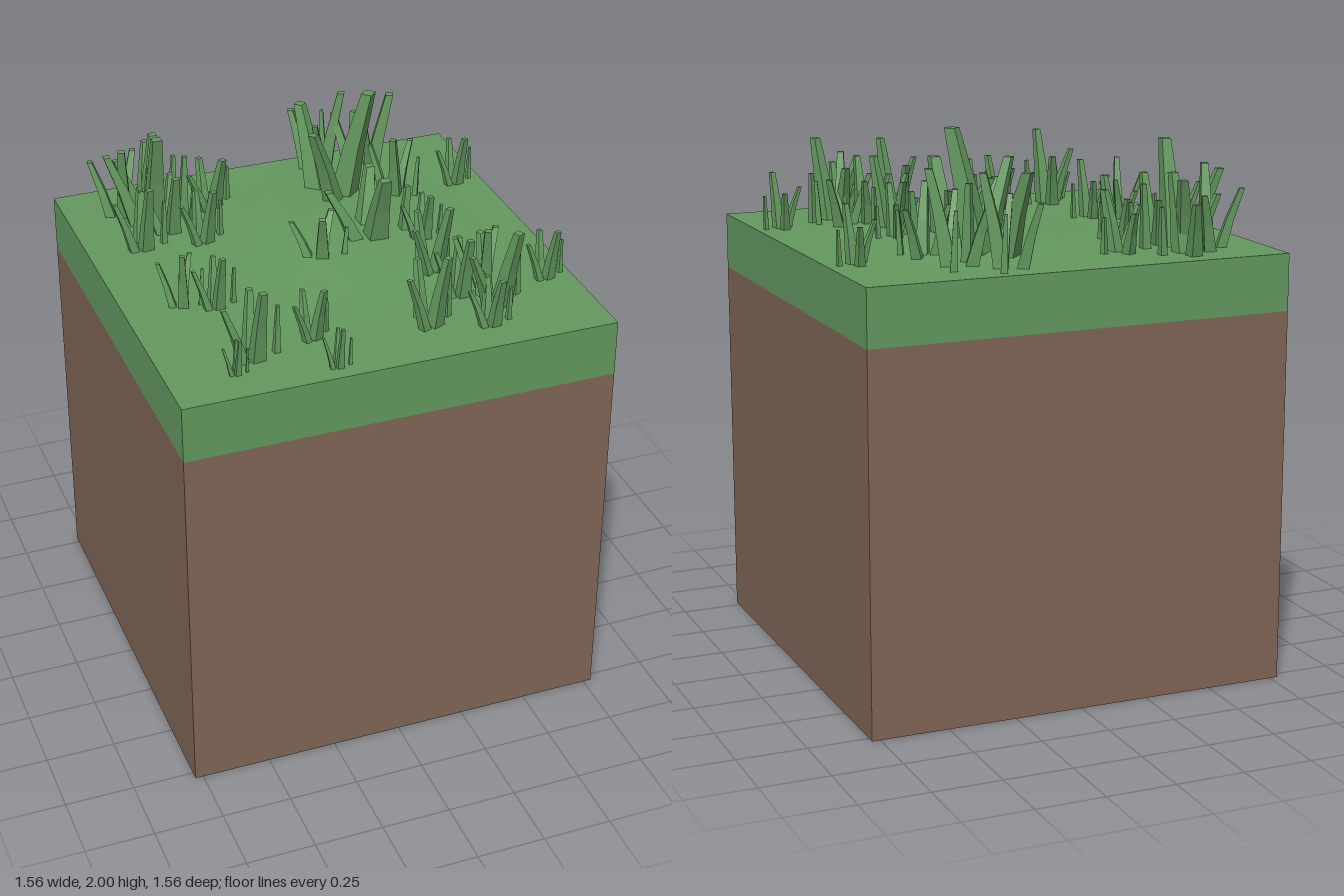
import * as THREE from 'three';

const green = new THREE.MeshStandardMaterial({ color: 0x64995f });
green.name = 'grassGreen';
const brown = new THREE.MeshStandardMaterial({ color: 0x806656 });
brown.name = 'soilBrown';

const SIDE = 1.56, SOIL_TOP = 1.355, TURF_TOP = 1.56;

// height of the gentle swell in the turf
function swell(x, z) {
  const r = Math.hypot((x - 0.12) / 0.5, (z + 0.15) / 0.58);
  return 0.03 * THREE.MathUtils.clamp(1.3 - 1.3 * r, 0, 1);
}

// one tuft: base x, base z, lean x, lean z, relative height, base width
const TUFT = [
  [0, 0, 0, 0.09, 1, 0.085],
  [-0.07, 0, -0.1, -0.03, 0.73, 0.06],
  [0, -0.1, 0.05, -0.09, 0.7, 0.07],
  [0.12, -0.02, 0.015, -0.01, 0.62, 0.04],
];

// tufts: x, z, spread, height, turn
const TUFTS = [
  [0.24, -0.42, 1.1, 0.43, 0.75],
  [0.22, -0.05, 1, 0.27, 0],
  [-0.01, 0.02, 0.65, 0.18, -0.35],
  [0.39, 0.01, 0.5, 0.19, 0],
  [0.25, -0.65, 0.7, 0.32, 1.1],
  [0.4, -0.55, 0.75, 0.33, 1.2],
  [0.42, -0.35, 0.6, 0.25, -0.6],
  [0.68, -0.37, 0.48, 0.2, 0.2],
  [-0.48, -0.48, 0.95, 0.37, -0.05],
  [-0.57, -0.56, 0.7, 0.29, -0.3],
  [-0.45, -0.61, 0.75, 0.27, 0.1],
  [-0.44, -0.38, 0.65, 0.24, 0],
  [-0.57, -0.29, 0.62, 0.26, 0.1],
  [-0.35, -0.26, 0.55, 0.22, 0.3],
  [-0.24, -0.51, 0.6, 0.21, 0.4],
  [-0.57, 0.15, 0.5, 0.22, -0.3],
  [-0.46, 0.2, 0.5, 0.21, 0.1],
  [-0.45, 0.57, 0.65, 0.28, 0.1],
  [-0.54, 0.64, 0.28, 0.14, 0],
  [-0.22, 0.51, 0.48, 0.2, 0.4],
  [-0.21, 0.715, 0.32, 0.16, 0],
  [0.19, 0.57, 0.62, 0.28, 0.4],
  [0.34, 0.23, 0.6, 0.26, 0.5],
  [0.36, 0.42, 0.58, 0.24, 0],
  [0.45, 0.41, 0.65, 0.26, -0.4],
  [0.46, 0.52, 0.75, 0.3, 0.4],
  [0.38, 0.64, 0.52, 0.19, 0.1],
  [0.69, 0.41, 0.48, 0.2, 0.2],
];

// flat facets for a reshaped geometry
function faceted(geometry) {
  const flat = geometry.toNonIndexed();
  flat.computeVertexNormals();
  return flat;
}

// tapered four-sided blade, sheared outward with a slight bend
function blade(width, height, leanX, leanZ) {
  const g = new THREE.CylinderGeometry(width * 0.3, width * 0.62, height, 4, 2);
  g.rotateY(Math.PI / 4);
  const p = g.attributes.position;
  for (let i = 0; i < p.count; i++) {
    const t = THREE.MathUtils.clamp(p.getY(i) / height + 0.5, 0, 1);
    const bend = Math.pow(t, 1.2);
    p.setXYZ(i, p.getX(i) + leanX * bend, t * height - 0.01, p.getZ(i) + leanZ * bend);
  }
  const mesh = new THREE.Mesh(faceted(g), green);
  mesh.name = 'grassBlade';
  return mesh;
}

function createTuft([x, z, spread, height, turn]) {
  const tuft = new THREE.Group();
  tuft.name = 'grassTuft';
  for (const [bx, bz, lx, lz, h, w] of TUFT) {
    const m = blade(w * spread, height * h + 0.01, lx * spread, lz * spread);
    m.position.set(bx * spread, 0, bz * spread);
    tuft.add(m);
  }
  tuft.position.set(x, TURF_TOP + swell(x, z) * 0.6, z);
  tuft.rotation.y = turn;
  return tuft;
}

export function createModel() {
  const model = new THREE.Group();
  model.name = 'grassBlock';

  const soil = new THREE.Mesh(new THREE.BoxGeometry(SIDE, SOIL_TOP, SIDE), brown);
  soil.name = 'soil';
  soil.position.y = SOIL_TOP / 2;
  model.add(soil);

  // turf slab with a softly raised top
  const depth = TURF_TOP - SOIL_TOP;
  const g = new THREE.BoxGeometry(SIDE, depth, SIDE, 10, 1, 10);
  g.translate(0, SOIL_TOP + depth / 2, 0);
  const p = g.attributes.position;
  for (let i = 0; i < p.count; i++) {
    if (p.getY(i) > TURF_TOP - 0.001) p.setY(i, TURF_TOP + swell(p.getX(i), p.getZ(i)));
  }
  const turf = new THREE.Mesh(faceted(g), green);
  turf.name = 'turf';
  model.add(turf);

  const grass = new THREE.Group();
  grass.name = 'grass';
  for (const t of TUFTS) grass.add(createTuft(t));
  model.add(grass);
  return model;
}
